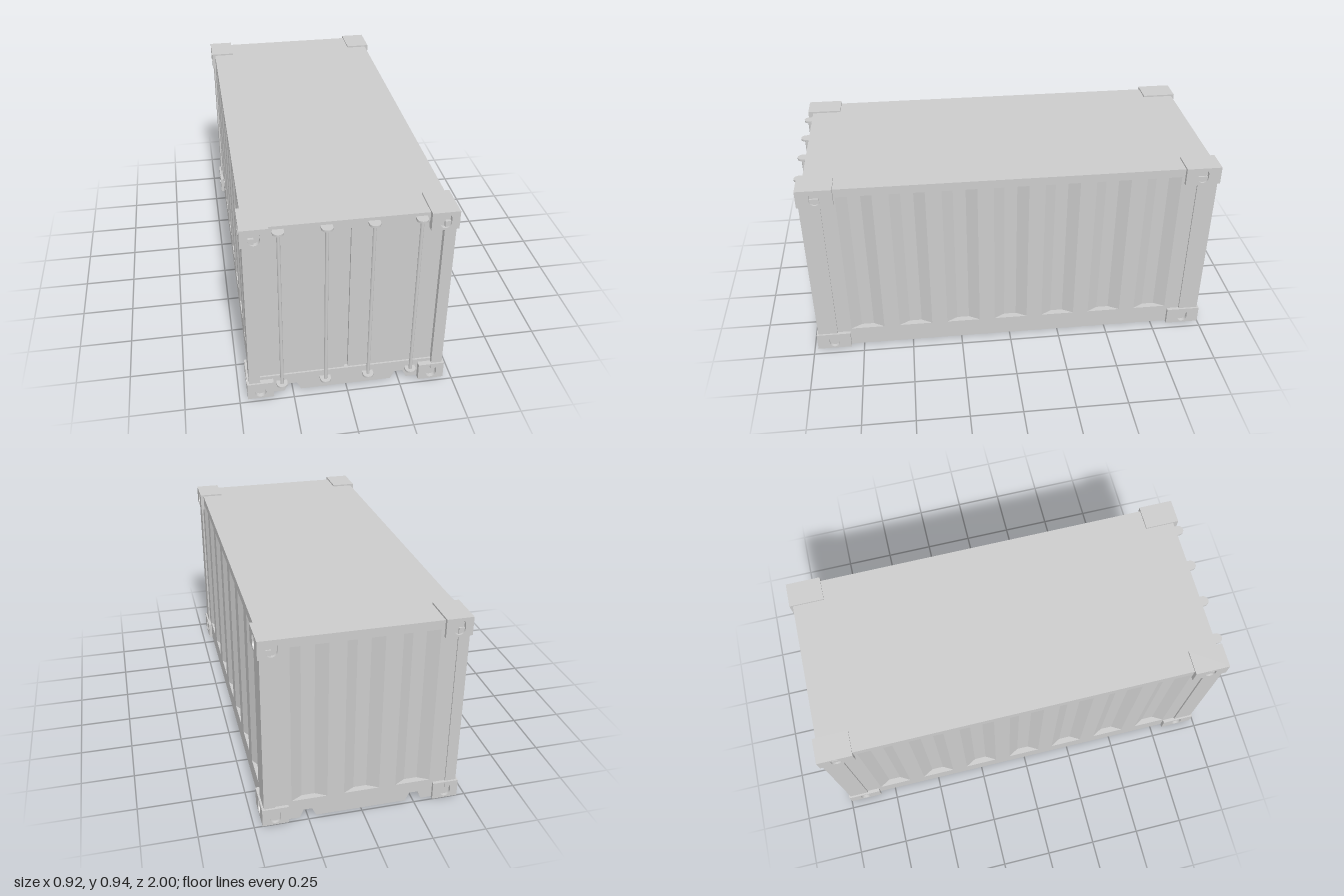
import * as THREE from 'three';

const material = new THREE.MeshStandardMaterial({ color: 0xcccccc });

// Body extents
const HALF_W = 0.445, BACK = -0.985, FRONT = 0.957;
const SILL = 0.104, HEADER = 0.89, ROOF = 0.932;
// Corrugation: spacing, total width and depth of each groove
const PITCH = 0.243, GROOVE = 0.166, SLOPE = 0.053, DEPTH = 0.03;

function add(parent, name, geometry, x = 0, y = 0, z = 0) {
  const mesh = new THREE.Mesh(geometry, material);
  mesh.name = name;
  mesh.position.set(x, y, z);
  parent.add(mesh);
  return mesh;
}

function boxBetween(parent, name, x0, x1, y0, y1, z0, z1) {
  return add(parent, name, new THREE.BoxGeometry(Math.abs(x1 - x0), y1 - y0, Math.abs(z1 - z0)),
    (x0 + x1) / 2, (y0 + y1) / 2, (z0 + z1) / 2);
}

function shapeFrom(points) {
  return new THREE.Shape(points.map(([x, y]) => new THREE.Vector2(x, y)));
}

function extrude(shape, depth) {
  return new THREE.ExtrudeGeometry(shape, { depth, bevelEnabled: false, curveSegments: 10 });
}

// Groove profile as [distance along wall, inset] pairs
function grooves(start, count) {
  const pts = [];
  for (let i = 0; i < count; i++) {
    const s = start + i * PITCH;
    pts.push([s, 0], [s + SLOPE, DEPTH], [s + GROOVE - SLOPE, DEPTH], [s + GROOVE, 0]);
  }
  return pts;
}

// Corrugated walls and recessed doors, drawn in plan as [x, z] and raised
function wallGeometry() {
  const side = grooves(-0.817, 7);
  const end = grooves(-PITCH - GROOVE / 2, 3);
  const door = FRONT - 0.008, gap = door - 0.015;
  const plan = [
    [-HALF_W, BACK],
    ...end.map(([s, d]) => [s, BACK + d]),
    [HALF_W, BACK],
    ...side.map(([s, d]) => [HALF_W - d, s]),
    [HALF_W, door],
    [0.008, door], [0.008, gap], [-0.008, gap], [-0.008, door],
    [-HALF_W, door],
    ...side.map(([s, d]) => [-HALF_W + d, s]).reverse(),
  ];
  const g = extrude(shapeFrom(plan.map(([x, z]) => [x, -z])), HEADER - SILL);
  g.rotateX(-Math.PI / 2);
  return g;
}

// Base section with two lifting channels running along the length
function baseGeometry() {
  const b = 0.004, t = 0.045;
  const right = [[0.212, b], [0.231, t], [0.27, t], [0.289, b], [HALF_W, b], [HALF_W, SILL]];
  const left = right.map(([x, y]) => [-x, y]).reverse();
  return extrude(shapeFrom([...left, ...right]), FRONT - BACK);
}

// Plate with an upright oval hole, centred on its origin in x and y
function ovalPlate(width, height, holeX, depth) {
  const w = width / 2, h = height / 2, r = 0.025, s = 0.01;
  const shape = shapeFrom([[-w, -h], [w, -h], [w, h], [-w, h]]);
  const hole = new THREE.Path();
  hole.absarc(holeX, s, r, 0, Math.PI, false);
  hole.absarc(holeX, -s, r, Math.PI, Math.PI * 2, false);
  hole.closePath();
  shape.holes.push(hole);
  return extrude(shape, depth);
}

// Corner casting: solid core, pierced end plate and pierced side plate
function cornerCasting(sx, sz, y0) {
  const group = new THREE.Group();
  group.name = 'cornerCasting';
  const H = 0.087, P = 0.02, X0 = 0.341, X1 = 0.462;
  const outer = sz > 0 ? 0.982 : -1;
  const inner = outer - sz * 0.168;
  const y = y0 + H / 2;
  boxBetween(group, 'castingCore', sx * X0, sx * (X1 - P), y0, y0 + H, inner, outer - sz * P);

  const xc = sx * (X0 + X1) / 2;
  add(group, 'castingEndPlate', ovalPlate(X1 - X0, H, sx * 0.402 - xc, P),
    xc, y, sz > 0 ? outer - P : outer);

  const zEnd = outer - sz * P, zc = (inner + zEnd) / 2;
  const holeZ = outer - sz * 0.085;
  const plate = ovalPlate(0.168 - P, H, -(holeZ - zc), P);
  plate.rotateY(Math.PI / 2);
  add(group, 'castingSidePlate', plate, sx > 0 ? X1 - P : -X1, y, zc);
  return group;
}

// Locking bar with a rounded bracket at each end
function lockingBar(x) {
  const group = new THREE.Group();
  group.name = 'lockingBar';
  const z = 0.975, r = 0.025;
  add(group, 'bar', new THREE.CylinderGeometry(0.008, 0.008, 0.85, 12), x, 0.489, z);
  for (const y of [0.066, 0.912]) {
    add(group, 'barBracket', new THREE.CylinderGeometry(r, r, 0.01, 24), x, y, z);
    boxBetween(group, 'bracketFoot', x - r, x + r, y - 0.005, y + 0.005, FRONT - 0.01, z);
  }
  return group;
}

export function createModel() {
  const model = new THREE.Group();
  model.name = 'freightContainer';

  add(model, 'base', baseGeometry(), 0, 0, BACK);
  add(model, 'walls', wallGeometry(), 0, SILL, 0);
  boxBetween(model, 'roof', -HALF_W, HALF_W, HEADER, ROOF, BACK, FRONT);

  // Corner posts and castings
  for (const sx of [-1, 1]) {
    for (const sz of [-1, 1]) {
      const outer = sz > 0 ? 0.974 : -0.991;
      const inner = sz > 0 ? 0.877 : -0.894;
      boxBetween(model, 'cornerPost', sx * 0.402, sx * 0.453, 0.05, 0.89, inner, outer);
      model.add(cornerCasting(sx, sz, 0), cornerCasting(sx, sz, 0.853));
    }
  }

  for (const x of [-0.302, -0.1, 0.1, 0.302]) model.add(lockingBar(x));
  return model;
}
